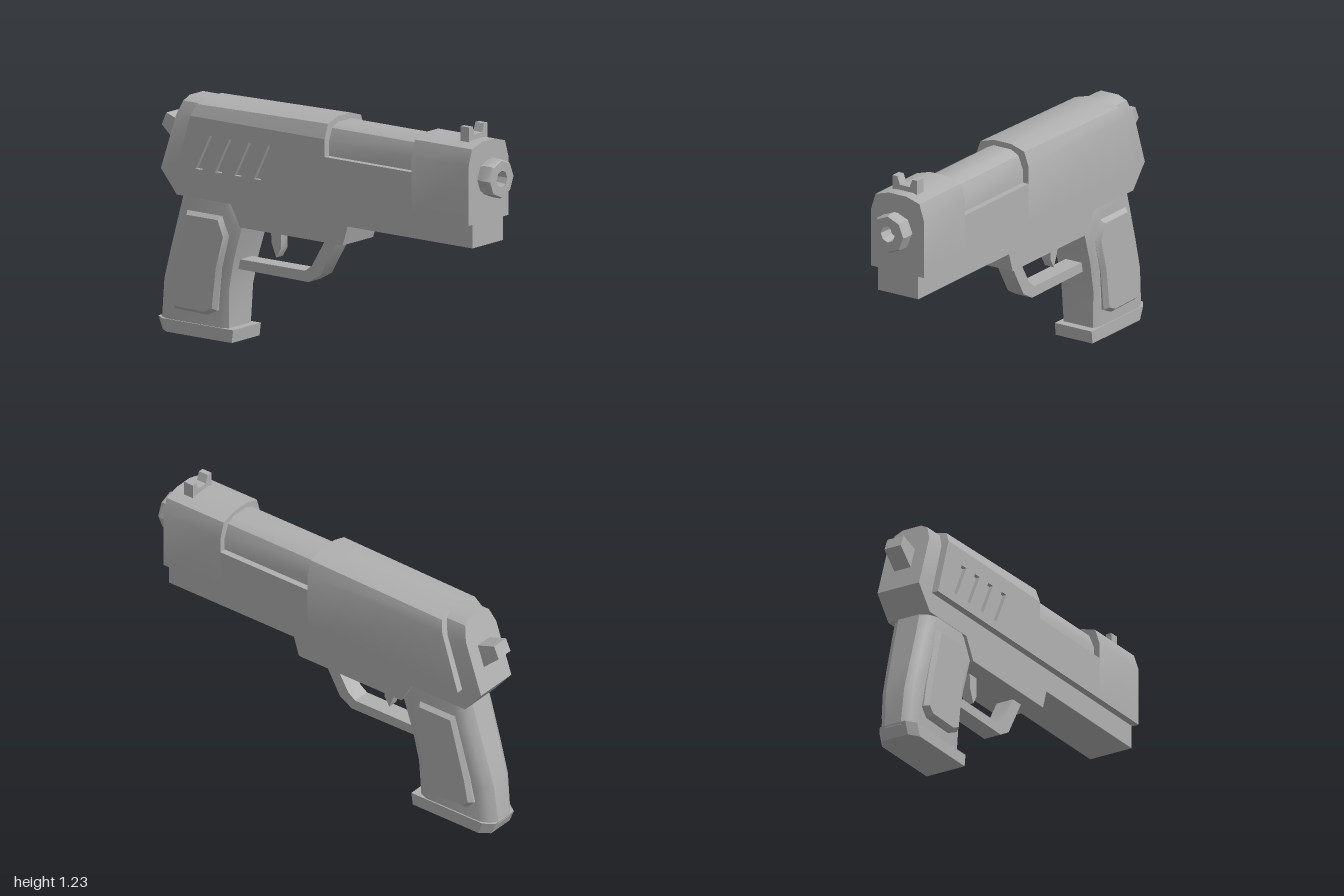
import * as THREE from 'three';
import { toCreasedNormals } from 'three/addons/utils/BufferGeometryUtils.js';

const shapeOf = (pts) => new THREE.Shape(pts.map(([a, b]) => new THREE.Vector2(a, b)));

// Side profile given as (z, y), extruded across x and centred on it
function sideExtrude(shape, width, options = {}) {
  const g = new THREE.ExtrudeGeometry(shape, { depth: width, bevelEnabled: false, ...options });
  return g.translate(0, 0, -width / 2).rotateY(-Math.PI / 2);
}

// Cross-section given as (x, y), run along z; both ends may lean with height
function lengthExtrude(section, rearAt, frontAt) {
  const g = new THREE.ExtrudeGeometry(shapeOf(section), { depth: 1, bevelEnabled: false });
  const p = g.attributes.position;
  for (let i = 0; i < p.count; i++) {
    p.setZ(i, p.getZ(i) > 0.5 ? frontAt(p.getY(i)) : rearAt(p.getY(i)));
  }
  g.computeVertexNormals();
  return g;
}

// Right half of a section, listed upwards, closed by its mirror image
const mirrored = (half) => [...half, ...half.map(([x, y]) => [-x, y]).reverse()];

// Skin over stacked rings of [x, y, z] points
function loft(rings) {
  const n = rings[0].length, index = [];
  for (let r = 0; r < rings.length - 1; r++) {
    for (let j = 0; j < n; j++) {
      const a = r * n + j, b = r * n + (j + 1) % n;
      index.push(a, b, b + n, a, b + n, a + n);
    }
  }
  const g = new THREE.BufferGeometry();
  g.setAttribute('position', new THREE.Float32BufferAttribute(rings.flat(2), 3));
  g.setIndex(index);
  return g;
}

export function createModel() {
  const model = new THREE.Group();
  const grey = new THREE.MeshStandardMaterial({ color: 0xb0b0b0 });
  grey.name = 'grey metal';
  const add = (name, geometry) => {
    const mesh = new THREE.Mesh(toCreasedNormals(geometry, 0.6), grey);
    mesh.name = name;
    model.add(mesh);
  };
  const at = (z) => () => z;

  // Lower frame
  add('frame', sideExtrude(shapeOf([
    [0.915, 0.79], [0.915, 0.66], [0.17, 0.66], [0.14, 0.565], [-0.47, 0.565],
    [-0.53, 0.67], [-0.85, 0.67], [-0.945, 0.785],
  ]), 0.23));

  // Rear block with leaning back face
  add('rearBlock', lengthExtrude(
    mirrored([[0.115, 0.785], [0.115, 1.05], [0.09, 1.12], [0.05, 1.142]]),
    (y) => -0.945 + (y - 0.785) * 0.34, at(-0.6)));

  // Slide: front, low middle and rear sections
  const slideRear = (y) => -0.83 + (y - 0.785) * 0.31;
  add('slideFront', lengthExtrude(
    mirrored([[0.15, 0.775], [0.15, 1.06], [0.125, 1.138], [0.05, 1.16]]), at(0.58), at(0.92)));
  add('slideMiddle', lengthExtrude(
    mirrored([[0.15, 0.775], [0.15, 0.985]]), at(0.06), at(0.58)));
  const slideTop = lengthExtrude([
    [-0.13, 0.775], [0.15, 0.775], [0.15, 1.07], [0.125, 1.14], [0.05, 1.163],
    [-0.05, 1.163], [-0.125, 1.14], [-0.15, 1.07], [-0.13, 1.07],
  ], slideRear, at(0.06));
  // Top falls slightly towards the rear
  const p = slideTop.attributes.position;
  for (let i = 0; i < p.count; i++) {
    if (p.getY(i) > 1.1 && p.getZ(i) < 0) p.setY(i, p.getY(i) - 0.015);
  }
  slideTop.computeVertexNormals();
  add('slideRear', slideTop);

  // Side plate with four slanted slots
  const plate = shapeOf([[slideRear(0.775), 0.775], [0.06, 0.775], [0.06, 1.07], [slideRear(1.07), 1.07]]);
  for (let i = 0; i < 4; i++) {
    const z = -0.71 + i * 0.116;
    plate.holes.push(new THREE.Path([
      [z, 0.82], [z + 0.085, 0.99], [z + 0.125, 0.99], [z + 0.04, 0.82],
    ].map(([a, b]) => new THREE.Vector2(a, b))));
  }
  add('slottedPlate', sideExtrude(plate, 0.02).translate(-0.14, 0, 0));

  // Barrel in the slide opening
  add('barrel', lengthExtrude(
    mirrored([[0.118, 0.95], [0.118, 1.05], [0.092, 1.115], [0.05, 1.136]]), at(0.05), at(0.59)));

  // Muzzle ring with a shallow bore
  const muzzle = new THREE.LatheGeometry([
    [0.085, 0.9], [0.085, 0.935], [0.095, 0.94], [0.095, 0.99], [0.088, 1],
    [0.04, 1], [0.034, 0.93], [0, 0.93],
  ].map(([r, z]) => new THREE.Vector2(r, z)), 8);
  add('muzzle', muzzle.rotateX(Math.PI / 2).translate(0, 0.985, 0));

  // Notched sight
  add('sight', lengthExtrude(
    mirrored([[0.07, 1.14], [0.07, 1.225], [0.043, 1.225], [0.028, 1.185]]), at(0.808), at(0.86)));

  // Hammer
  add('hammer', sideExtrude(shapeOf([
    [-0.8, 0.97], [-0.89, 0.88], [-0.995, 0.975], [-0.968, 1.035], [-0.865, 1],
  ].reverse()), 0.09));

  // Trigger and its guard
  add('triggerGuard', sideExtrude(shapeOf([
    [0.06, 0.57], [-0.05, 0.38], [-0.12, 0.34], [-0.57, 0.345], [-0.57, 0.392],
    [-0.14, 0.392], [-0.1, 0.42], [-0.01, 0.57],
  ]), 0.09));
  add('trigger', sideExtrude(shapeOf([
    [-0.298, 0.57], [-0.3, 0.47], [-0.328, 0.425], [-0.355, 0.49], [-0.36, 0.57],
  ]), 0.05));

  // Grip: height, front z, rear z, half width
  const levels = [
    [0.05, -0.565, -0.993, 0.098], [0.25, -0.557, -0.972, 0.106],
    [0.4, -0.525, -0.93, 0.11], [0.57, -0.472, -0.88, 0.113], [0.675, -0.53, -0.85, 0.113],
  ];
  add('grip', loft(levels.map(([y, f, b, w]) => {
    const half = [[w - 0.015, f], [w, f - 0.04], [w, b + 0.07], [w - 0.02, b + 0.025], [w - 0.055, b]];
    return mirrored(half).map(([x, z]) => [x, y, z]);
  })));

  // Raised panels on both sides of the grip
  add('gripPanels', sideExtrude(shapeOf([
    [-0.58, 0.605], [-0.54, 0.51], [-0.585, 0.35], [-0.61, 0.145], [-0.67, 0.118],
    [-0.86, 0.122], [-0.9, 0.165], [-0.875, 0.29], [-0.79, 0.605],
  ].reverse()), 0.225, {
    bevelEnabled: true, bevelThickness: 0.022, bevelSize: 0.018, bevelOffset: -0.018, bevelSegments: 1,
  }));

  // Base plate with cut rear corners
  const base = (y, f, b) => mirrored([[0.105, f], [0.105, b + 0.05], [0.07, b]]).map(([x, z]) => [x, y, z]);
  const centre = (y) => Array.from({ length: 6 }, () => [0, y, -0.75]);
  add('basePlate', loft([
    centre(0), base(0, -0.53, -0.97), base(0.062, -0.522, -0.995), centre(0.062),
  ]));

  return model;
}
